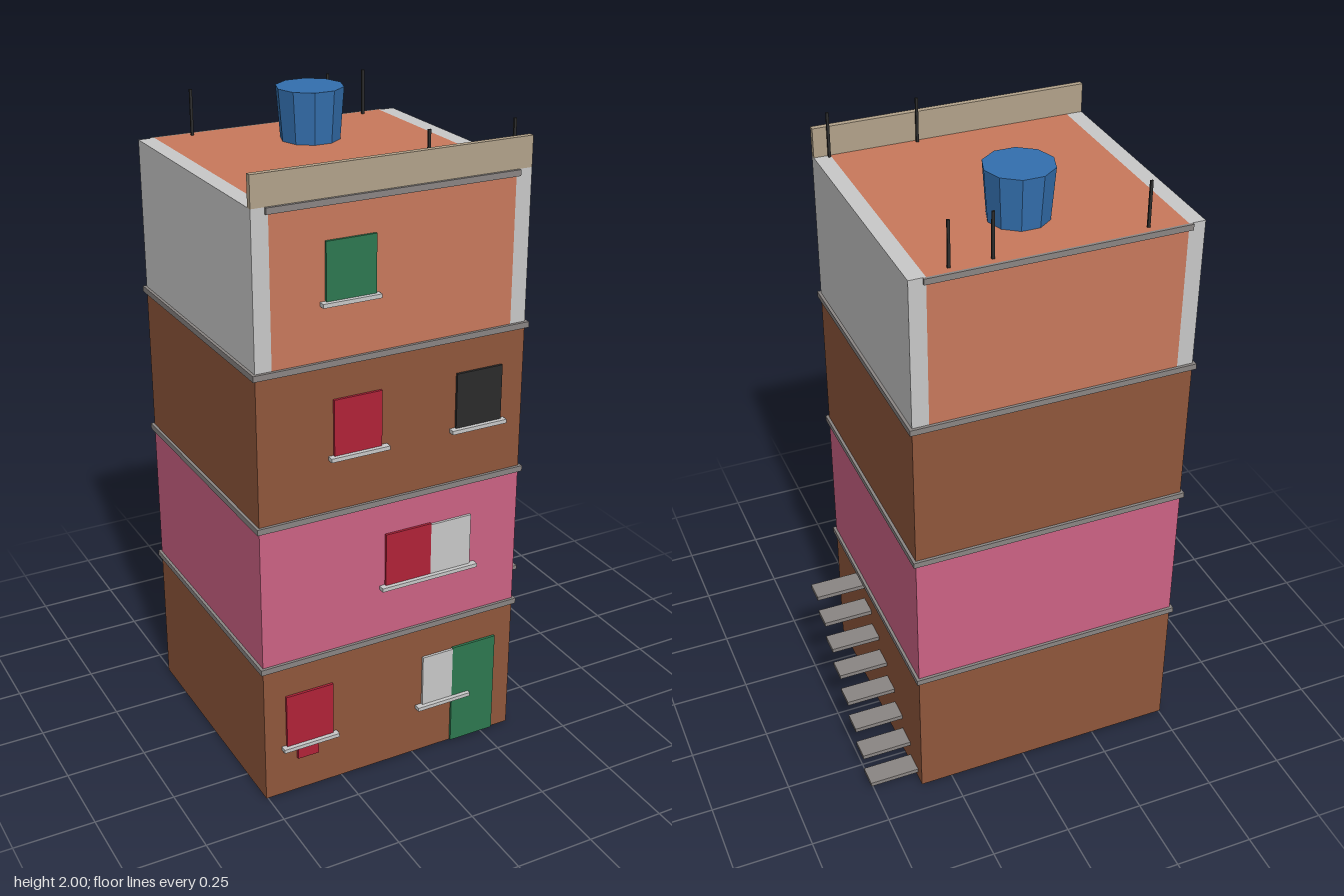
import * as THREE from 'three';

const mat = (name, color) => {
  const m = new THREE.MeshStandardMaterial({ color });
  m.name = name;
  return m;
};

export function createModel() {
  const M = {
    brown: mat('brown plaster', 0x8f563b),
    pink: mat('pink plaster', 0xcc6284),
    orange: mat('orange plaster', 0xc8795c),
    white: mat('pale concrete', 0xc8c8c8),
    grey: mat('grey concrete', 0x8a8583),
    tan: mat('tan parapet', 0xb2a28a),
    red: mat('red shutter', 0xb02238),
    green: mat('green paint', 0x2d7850),
    black: mat('black', 0x2b2b2b),
    blue: mat('blue tank', 0x336fae),
  };
  const model = new THREE.Group();
  model.name = 'towerHouse';

  // Box given by its extents along each axis
  const box = (name, m, x0, x1, y0, y1, z0, z1) => {
    const mesh = new THREE.Mesh(new THREE.BoxGeometry(x1 - x0, y1 - y0, z1 - z0), m);
    mesh.position.set((x0 + x1) / 2, (y0 + y1) / 2, (z0 + z1) / 2);
    mesh.name = name;
    model.add(mesh);
    return mesh;
  };

  const L = -0.505, R = 0.352, B = -0.403, F = 0.388, roof = 1.845;

  // Storeys, stacked
  box('groundFloor', M.brown, L, R, 0, 0.455, B, F);
  box('firstFloor', M.pink, L, R, 0.455, 0.917, B, F);
  box('secondFloor', M.brown, L, R, 0.917, 1.38, B, F);
  box('topFloor', M.orange, -0.455, 0.302, 1.38, roof, B, F);
  box('rightSideWall', M.white, L, -0.455, 1.38, roof, B, F);
  box('leftSideWall', M.white, 0.302, R, 1.38, roof, B, F);

  // Slab edges between storeys, and the narrower one under the roof
  for (const y of [0.455, 0.917, 1.38])
    box('slabEdge', M.grey, L - 0.009, R + 0.009, y - 0.009, y + 0.009, B - 0.009, F + 0.009);
  for (const [z0, z1] of [[B - 0.009, B], [F, F + 0.009]])
    box('roofSlabEdge', M.grey, -0.465, 0.311, roof - 0.018, roof, z0, z1);

  // Parapet along the front
  box('parapet', M.tan, L, R, roof, 1.935, 0.37, F);

  // Shutters, panes and the door: colour, x range, y range
  const panels = [
    ['shutter', M.green, -0.293, -0.14, 1.555, 1.73],
    ['shutter', M.red, -0.271, -0.12, 1.093, 1.27],
    ['windowPane', M.black, 0.125, 0.277, 1.093, 1.27],
    ['shutter', M.red, -0.103, 0.049, 0.632, 0.806],
    ['windowPane', M.white, 0.049, 0.186, 0.632, 0.802],
    ['shutter', M.red, -0.435, -0.28, 0.165, 0.346],
    ['hangingCloth', M.red, -0.4, -0.331, 0.115, 0.16],
    ['windowPane', M.white, 0.031, 0.137, 0.165, 0.342],
    ['door', M.green, 0.137, 0.29, 0.002, 0.346],
  ];
  for (const [name, m, x0, x1, y0, y1] of panels) box(name, m, x0, x1, y0, y1, F, F + 0.008);

  // Window sills: x range, y
  const sills = [
    [-0.309, -0.13, 1.555], [-0.287, -0.1, 1.093], [0.107, 0.29, 1.093],
    [-0.12, 0.205, 0.63], [-0.45, -0.266, 0.165], [0.01, 0.196, 0.165],
  ];
  for (const [x0, x1, y] of sills) box('windowSill', M.white, x0, x1, y - 0.006, y + 0.006, F, F + 0.021);

  // Floating steps up the left side
  for (let i = 0; i < 8; i++) {
    const y = 0.03 + i * 0.0562, z = -0.37 + i * 0.0683;
    box('step', M.grey, R, 0.511, y - 0.007, y + 0.007, z, z + 0.069);
  }

  // Water tank
  const tank = new THREE.Mesh(new THREE.CylinderGeometry(0.102, 0.09, 2 - roof, 10), M.blue);
  M.blue.flatShading = true;
  tank.rotation.y = Math.PI / 2;
  tank.position.set(-0.048, (2 + roof) / 2, -0.187);
  tank.name = 'waterTank';
  model.add(tank);

  // Bare reinforcing rods on the roof
  for (const [x, z] of [[-0.344, -0.379], [0.108, -0.379], [0.231, -0.379], [0.036, 0.36], [0.308, 0.36]])
    box('roofRod', M.black, x - 0.004, x + 0.004, roof, 1.982, z - 0.003, z + 0.003);

  return model;
}
